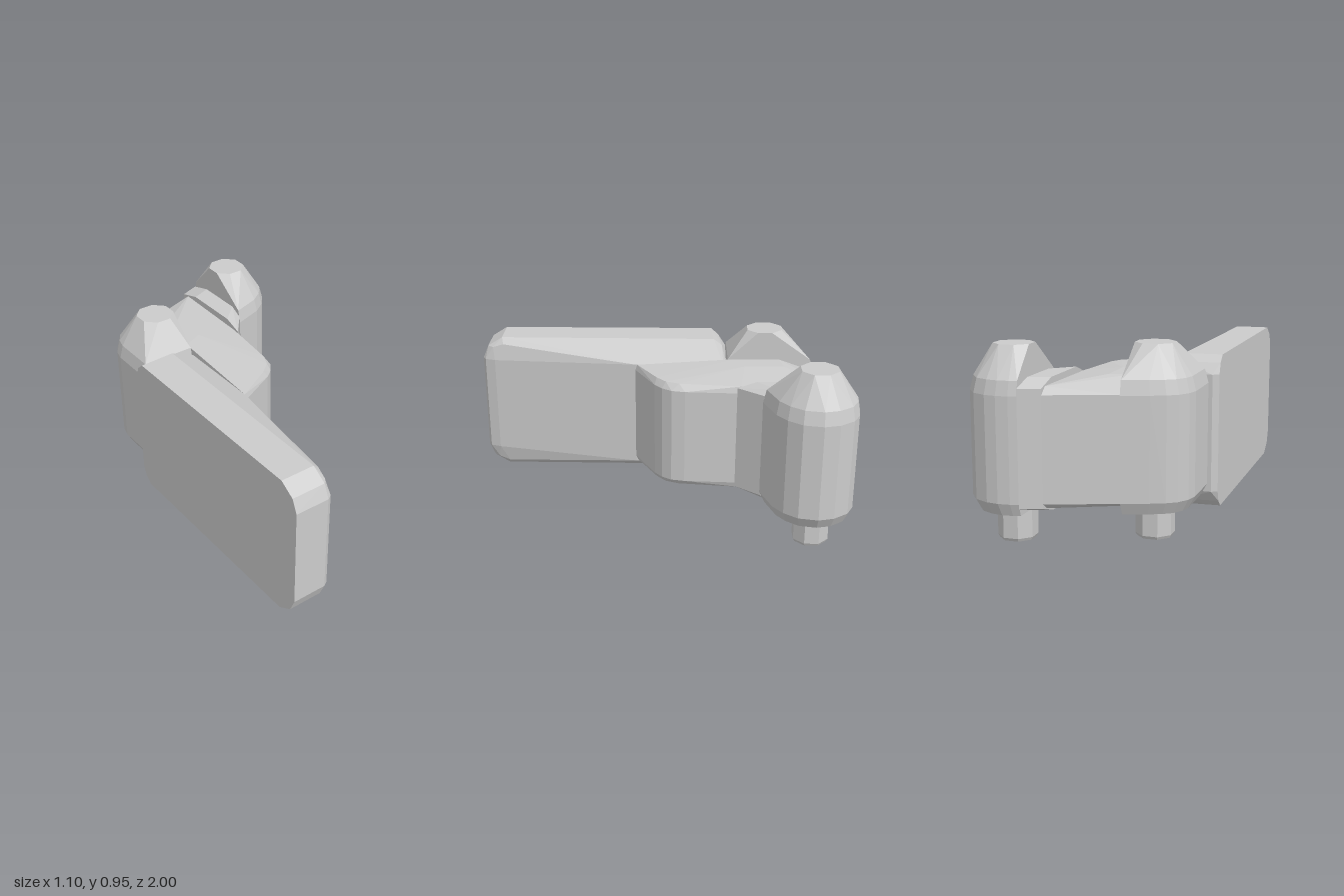
import * as THREE from 'three';
import { ConvexGeometry } from 'three/addons/geometries/ConvexGeometry.js';

const material = new THREE.MeshStandardMaterial({ color: 0xcccccc, flatShading: true });

// Faceted solid spanning a list of [x, y, z] corners
function hull(name, points) {
  const mesh = new THREE.Mesh(new ConvexGeometry(points.map((p) => new THREE.Vector3(...p))), material);
  mesh.name = name;
  return mesh;
}

// Plan outline [x, z] scaled about (cx, cz) and lifted to height y
const ring = (plan, y, k = 1, cx = 0, cz = 0) =>
  plan.map(([x, z]) => [cx + (x - cx) * k, y, cz + (z - cz) * k]);

// Plan outline of an eight-sided peg
function octagon(cx, cz, r) {
  return Array.from({ length: 8 }, (_, i) => {
    const a = (i + 0.5) * Math.PI / 4;
    return [cx + r * Math.cos(a) / Math.cos(Math.PI / 8), cz + r * Math.sin(a) / Math.cos(Math.PI / 8)];
  });
}

// Upright barrel with one flat side, a tapered top and a peg underneath
function barrel(name, plan, flatX, cx, cz) {
  const group = new THREE.Group();
  group.name = name;
  group.add(hull(name + 'Body', [
    ...ring(plan, 0.16, 0.89, flatX, cz),
    ...ring(plan, 0.22, 1),
    ...ring(plan, 0.73, 1),
    ...ring(plan, 0.8, 0.94, flatX, cz),
    ...ring(octagon(cx, cz, 0.092), 0.95),
  ]));
  const peg = octagon(cx, cz, 0.09);
  group.add(hull(name + 'Peg', [
    ...ring(peg, 0, 0.92, cx, cz), ...ring(peg, 0.015), ...ring(peg, 0.2),
  ]));
  return group;
}

export function createModel() {
  const model = new THREE.Group();
  model.name = 'hingedBracket';

  // Blade: upper corners, mirrored about its mid height
  const mid = 0.475;
  const upper = [
    [-0.55, 0.74, 1], [-0.55, 0.81, 0.97], [-0.55, 0.86, 0.89],
    [-0.37, 0.74, 1], [-0.37, 0.81, 0.97], [-0.37, 0.86, 0.89],
    [-0.345, 0.74, 0.985], [-0.325, 0.74, 0.93], [-0.345, 0.81, 0.94], [-0.335, 0.83, 0.88],
    [-0.2, 0.765, 0.14], [-0.2, 0.765, -0.34], [-0.2, 0.74, -0.36],
    [-0.36, 0.86, -0.29], [-0.36, 0.825, -0.335], [-0.36, 0.77, -0.36],
    [-0.55, 0.86, -0.28], [-0.55, 0.825, -0.32], [-0.55, 0.77, -0.34], [-0.52, 0.77, -0.36],
  ];
  model.add(hull('blade', upper.flatMap(([x, y, z]) => [[x, y, z], [x, 2 * mid - y, z]])));

  // Middle block: wall outline, then gently sloped top and bottom
  const wall = [
    [-0.2, 0.14], [0.02, 0.03], [0.07, -0.01], [0.105, -0.06], [0.12, -0.13],
    [0.135, -0.42], [0.135, -0.945], [-0.2, -0.825],
  ];
  const crown = [
    [-0.2, 0.765, 0.13], [0.0, 0.77, 0.02], [0.06, 0.77, -0.03], [0.09, 0.77, -0.1],
    [0.125, 0.77, -0.42], [0.135, 0.77, -0.9],
    [-0.2, 0.8, -0.4], [-0.09, 0.8, -0.45], [-0.09, 0.8, -0.66], [-0.2, 0.8, -0.64],
  ];
  const foot = crown.map(([x, y, z]) => [x, 0.96 - y, z]);
  model.add(hull('middleBlock', [...ring(wall, 0.22), ...ring(wall, 0.735), ...crown, ...foot]));

  // Short neck between the middle block and the left barrel
  const neck = [[0.135, -0.4], [0.24, -0.53], [0.24, -0.985], [0.135, -0.945]];
  const neckCore = [[0.135, -0.5], [0.24, -0.6], [0.24, -0.86], [0.135, -0.82]];
  model.add(hull('neck', [
    ...ring(neckCore, 0.16), ...ring(neck, 0.2), ...ring(neck, 0.765), ...ring(neckCore, 0.8),
  ]));

  // Barrels
  model.add(barrel('leftBarrel', [
    [0.24, -0.525], [0.4, -0.58], [0.47, -0.63], [0.525, -0.7], [0.545, -0.8],
    [0.525, -0.88], [0.47, -0.955], [0.4, -0.99], [0.34, -1], [0.28, -0.995], [0.24, -0.985],
  ], 0.24, 0.333, -0.79));
  model.add(barrel('rightBarrel', [
    [-0.2, -0.35], [-0.5, -0.35], [-0.5, -0.6], [-0.485, -0.66], [-0.45, -0.715],
    [-0.4, -0.75], [-0.33, -0.78], [-0.2, -0.825],
  ], -0.2, -0.292, -0.56));

  return model;
}
